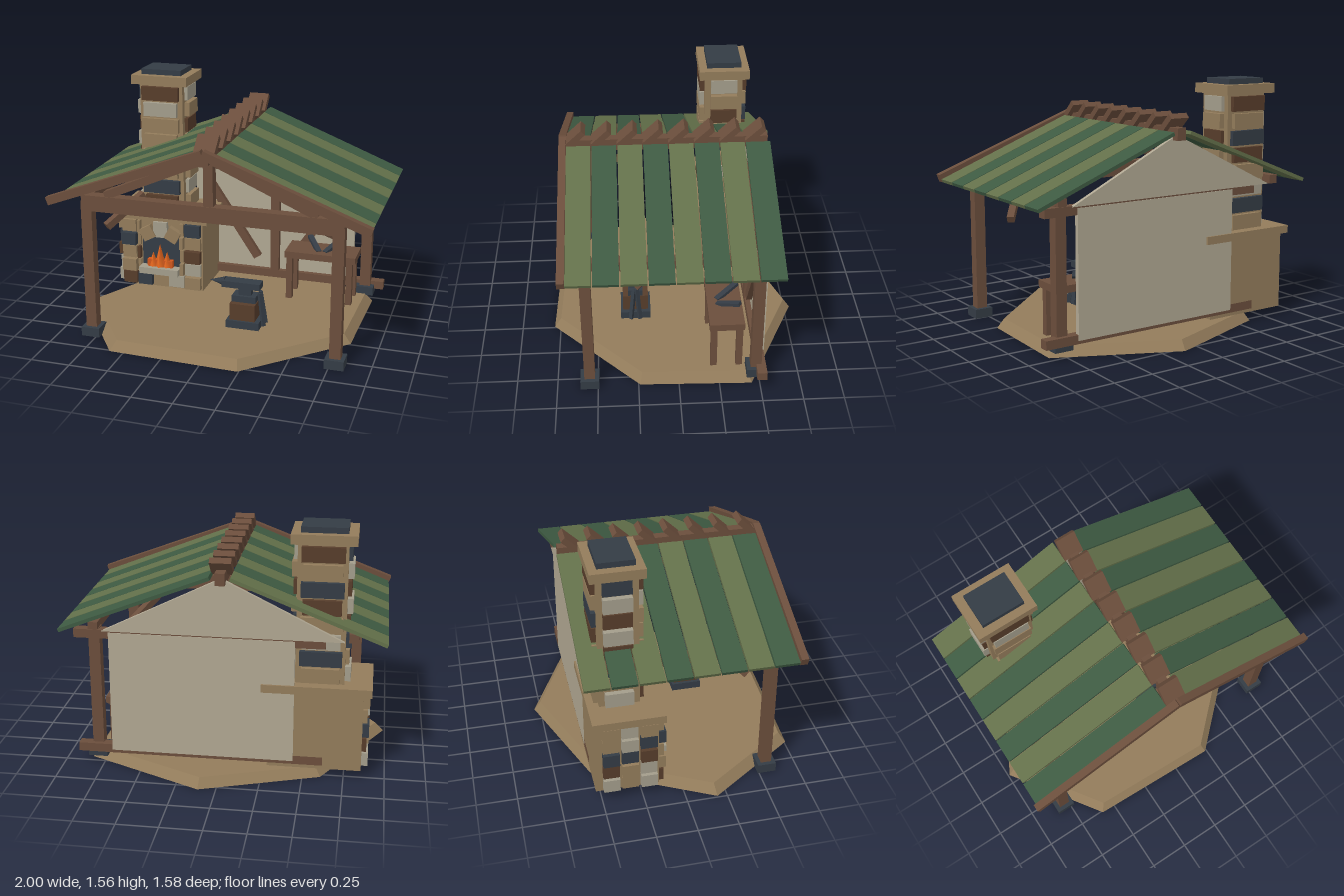
import * as THREE from 'three';
import { ConvexGeometry } from 'three/addons/geometries/ConvexGeometry.js';

const mat = (name, color) => {
  const m = new THREE.MeshStandardMaterial({ color });
  m.name = name;
  return m;
};

export function createModel() {
  const root = new THREE.Group();
  const tan = mat('tan stone', 0x937c5b);
  const wood = mat('timber', 0x6b4e3c);
  const darkWood = mat('dark timber', 0x573d2b);
  const plaster = mat('plaster', 0xb0a792);
  const pale = mat('pale stone', 0xa39d8b);
  const slate = mat('slate', 0x343c45);
  const olive = mat('olive roof', 0x63704a);
  const green = mat('green roof', 0x3e5a42);
  const fire = mat('flame', 0xe4661f);
  const ember = mat('ember', 0xcf561c);

  const group = (name) => {
    const g = new THREE.Group();
    g.name = name;
    root.add(g);
    return g;
  };
  const add = (parent, name, geo, m) => {
    const mesh = new THREE.Mesh(geo, m);
    mesh.name = name;
    parent.add(mesh);
    return mesh;
  };
  // Box given by its limits on each axis
  const box = (parent, name, m, x0, x1, y0, y1, z0, z1) => {
    const b = add(parent, name, new THREE.BoxGeometry(x1 - x0, y1 - y0, z1 - z0), m);
    b.position.set((x0 + x1) / 2, (y0 + y1) / 2, (z0 + z1) / 2);
    return b;
  };
  // Straight bar from a to b, w wide and h high
  const bar = (parent, name, m, a, b, w, h) => {
    const p = new THREE.Vector3(...a), q = new THREE.Vector3(...b);
    const mesh = add(parent, name, new THREE.BoxGeometry(w, h, p.distanceTo(q)), m);
    mesh.position.copy(p).add(q).multiplyScalar(0.5);
    mesh.lookAt(q);
    return mesh;
  };

  // Uneven seven-sided ground slab with sloping rim
  const rim = [[0.24, 0.79], [0.82, 0.24], [0.84, -0.45], [0.11, -0.79], [-0.61, -0.53], [-0.99, 0.19], [-0.59, 0.76]];
  add(root, 'groundSlab', new ConvexGeometry(rim.flatMap(([x, z]) => [
    new THREE.Vector3(x, 0, z), new THREE.Vector3(x * 0.945, 0.06, z * 0.945)])), tan);

  // Posts on slate footings
  const frame = group('timberFrame');
  for (const [x, z, y] of [[-0.785, 0.55, 0], [0.785, 0.55, 0], [0.785, -0.475, 0.05]]) {
    box(frame, 'footing', slate, x - 0.06, x + 0.06, y, y + 0.06, z - 0.058, z + 0.058);
    box(frame, 'post', wood, x - 0.035, x + 0.035, y + 0.05, 0.9, z - 0.033, z + 0.033);
  }

  // Front truss, wall plates, ridge beam and barge boards
  box(frame, 'tieBeam', wood, -0.815, 0.815, 0.84, 0.94, 0.515, 0.585);
  box(frame, 'kingPost', wood, -0.03, 0.03, 0.94, 1.26, 0.52, 0.58);
  box(frame, 'ridgeBeam', wood, -0.03, 0.03, 1.22, 1.295, -0.59, 0.66);
  for (const s of [-1, 1]) {
    box(frame, 'wallPlate', wood, s * 0.785 - 0.03, s * 0.785 + 0.03, 0.885, 0.94, -0.53, 0.585);
    bar(frame, 'trussRafter', wood, [s * 0.66, 0.945, 0.55], [0, 1.235, 0.55], 0.06, 0.05);
    bar(frame, 'bargeBoard', wood, [s * 0.99, 0.917, 0.675], [0, 1.29, 0.675], 0.045, 0.052);
    bar(frame, 'kneeBrace', wood, [s * 0.72, 0.69, s < 0 ? 0.43 : 0.22],
      [s * 0.55, 0.855, s < 0 ? 0.22 : 0.43], 0.045, 0.045);
  }

  // Roof boards in alternating colours with tilted ridge caps
  const roof = group('roof');
  for (let i = 0; i < 8; i++) {
    const z = 0.58 - i * 0.158;
    for (const s of [-1, 1]) {
      bar(roof, 'roofBoard', (i % 2 === 0) === (s > 0) ? olive : green,
        [s * 0.98, 0.902, z], [s * 0.06, 1.265, z], 0.15, 0.022);
    }
    bar(roof, 'ridgeCap', wood, [0, 1.27, z + 0.066], [0, 1.365, z - 0.034], 0.13, 0.038);
  }

  // Half-timbered back wall and gable
  const wall = group('backWall');
  box(wall, 'wallPanel', plaster, -0.44, 0.69, 0.1, 0.88, -0.538, -0.508);
  for (const y of [0.08, 0.84]) box(wall, 'rail', wood, -0.62, 0.905, y, y + 0.055, -0.535, -0.475);
  box(wall, 'stud', wood, 0.11, 0.17, 0.13, 0.84, -0.52, -0.47);
  for (const s of [-1, 1]) {
    bar(wall, 'wallBrace', wood, [0.135 + s * 0.46, 0.73, -0.49], [0.135 + s * 0.12, 0.22, -0.49], 0.04, 0.055);
  }
  const tri = new THREE.Shape([[-0.73, 0.89], [0.73, 0.89], [0, 1.25]].map((p) => new THREE.Vector2(...p)));
  add(wall, 'gablePanel', new THREE.ExtrudeGeometry(tri, { depth: 0.025, bevelEnabled: false }), plaster).position.z = -0.545;

  // Fireplace body
  const forge = group('fireplace');
  box(forge, 'hearthBody', tan, -0.855, -0.28, 0.06, 0.55, -0.535, -0.145);
  box(forge, 'mantel', tan, -0.905, -0.24, 0.55, 0.6, -0.55, -0.11);
  box(forge, 'fireMouth', slate, -0.71, -0.44, 0.2, 0.43, -0.147, -0.137);
  box(forge, 'hearthLedge', pale, -0.715, -0.435, 0.175, 0.22, -0.15, -0.065);
  const leftStones = [slate, tan, brownOr(darkWood), tan, tan];
  const innerStones = [pale, tan, tan, tan, tan];
  const outerStones = [tan, pale, darkWood, tan, slate];
  const stonePalette = [pale, slate, tan, darkWood, pale, tan, slate];
  function brownOr(m) { return m; }
  for (let i = 0; i < 5; i++) {
    const y = 0.075 + i * 0.095, j = (i % 2) * 0.015;
    box(forge, 'jambStone', leftStones[i], -0.74, -0.64 - (i ? 0.08 : 0), y, y + 0.085, -0.15, -0.11 - j);
    box(forge, 'jambStone', leftStones[(i + 2) % 5], -0.85, -0.75, y, y + 0.085, -0.15, -0.115 + j);
    box(forge, 'jambStone', innerStones[i], i ? -0.435 : -0.52, -0.41, y, y + 0.085, -0.15, -0.12 + j);
    box(forge, 'jambStone', outerStones[i], -0.4, -0.29, y, y + 0.085, -0.15, -0.105 - j);
    // Stones on the outer side
    for (let k = 0; k < 3; k++) {
      const z = -0.49 + k * 0.115;
      box(forge, 'sideStone', stonePalette[(i * 3 + k * 2) % 7], -0.895 + ((i + k) % 2) * 0.012, -0.85,
        y, y + 0.085, z, z + 0.1);
    }
  }
  box(forge, 'keystone', pale, -0.625, -0.525, 0.43, 0.54, -0.15, -0.115);
  for (const s of [-1, 1]) {
    box(forge, 'archStone', tan, -0.575 + s * 0.09 - 0.045, -0.575 + s * 0.09 + 0.045, 0.41, 0.5, -0.15, -0.105).rotation.z = -s * 0.5;
  }
  // Fire
  box(forge, 'emberBed', ember, -0.665, -0.485, 0.22, 0.27, -0.136, -0.1);
  for (const [x, h, r] of [[-0.625, 0.1, 0.035], [-0.575, 0.16, 0.042], [-0.525, 0.11, 0.035]]) {
    add(forge, 'flame', new THREE.ConeGeometry(r, h, 4), fire).position.set(x, 0.225 + h / 2, -0.112);
  }

  // Chimney with a course of facing stones on every side
  const stack = group('chimney');
  box(stack, 'stackCore', tan, -0.735, -0.44, 0.6, 1.47, -0.48, -0.235);
  box(stack, 'chimneyCap', tan, -0.785, -0.4, 1.465, 1.525, -0.52, -0.2);
  box(stack, 'capTop', slate, -0.73, -0.455, 1.525, 1.56, -0.47, -0.25);
  const frontC = [darkWood, slate, tan, tan, tan, tan, pale, darkWood];
  const leftC = [tan, pale, tan, slate, tan, darkWood, tan, pale];
  const rightC = [pale, tan, slate, darkWood, pale, darkWood, pale, slate];
  const backC = [tan, slate, pale, tan, darkWood, slate, tan, darkWood];
  for (let i = 0; i < 8; i++) {
    const y = 0.61 + i * 0.107, t = y + 0.092, d = (i % 2) * 0.012;
    box(stack, 'frontStone', frontC[i], -0.705 - d, -0.475 + d, y, t, -0.24, -0.205);
    box(stack, 'backStone', backC[i], -0.705 - d, -0.475 + d, y, t, -0.508, -0.475);
    box(stack, 'leftStone', leftC[i], -0.445, -0.405 - d, y, t, -0.445, -0.275);
    box(stack, 'rightStone', rightC[i], -0.77 + d, -0.73, y, t, -0.445, -0.275);
  }

  // Workbench with two tools resting on it
  const bench = group('workbench');
  box(bench, 'benchTop', wood, 0.28, 0.755, 0.355, 0.4, -0.405, -0.19);
  for (const x of [0.31, 0.715]) {
    for (const z of [-0.22, -0.378]) box(bench, 'benchLeg', wood, x - 0.02, x + 0.02, 0.055, 0.355, z - 0.02, z + 0.02);
  }
  bar(bench, 'benchTool', slate, [0.41, 0.452, -0.385], [0.5, 0.395, -0.25], 0.035, 0.022);
  bar(bench, 'benchTool', slate, [0.62, 0.452, -0.385], [0.54, 0.395, -0.25], 0.035, 0.022);

  // Anvil on a timber block
  const anvil = group('anvil');
  box(anvil, 'blockBand', slate, 0.035, 0.25, 0.055, 0.11, 0.155, 0.35);
  box(anvil, 'anvilBlock', darkWood, 0.055, 0.22, 0.06, 0.22, 0.17, 0.335);
  box(anvil, 'anvilFoot', slate, 0.06, 0.215, 0.22, 0.262, 0.205, 0.3);
  box(anvil, 'anvilWaist', slate, 0.1, 0.18, 0.262, 0.31, 0.225, 0.28);
  box(anvil, 'anvilFace', slate, -0.01, 0.24, 0.308, 0.35, 0.213, 0.292);
  const horn = add(anvil, 'anvilHorn', new THREE.ConeGeometry(0.03, 0.1, 6), slate);
  horn.rotation.z = Math.PI / 2;
  horn.position.set(-0.05, 0.333, 0.252);
  // Tongs leaning on the block
  bar(anvil, 'tong', slate, [0.265, 0.07, 0.225], [0.235, 0.29, 0.245], 0.025, 0.02);
  bar(anvil, 'tong', slate, [0.265, 0.07, 0.285], [0.235, 0.28, 0.262], 0.025, 0.02);

  return root;
}
